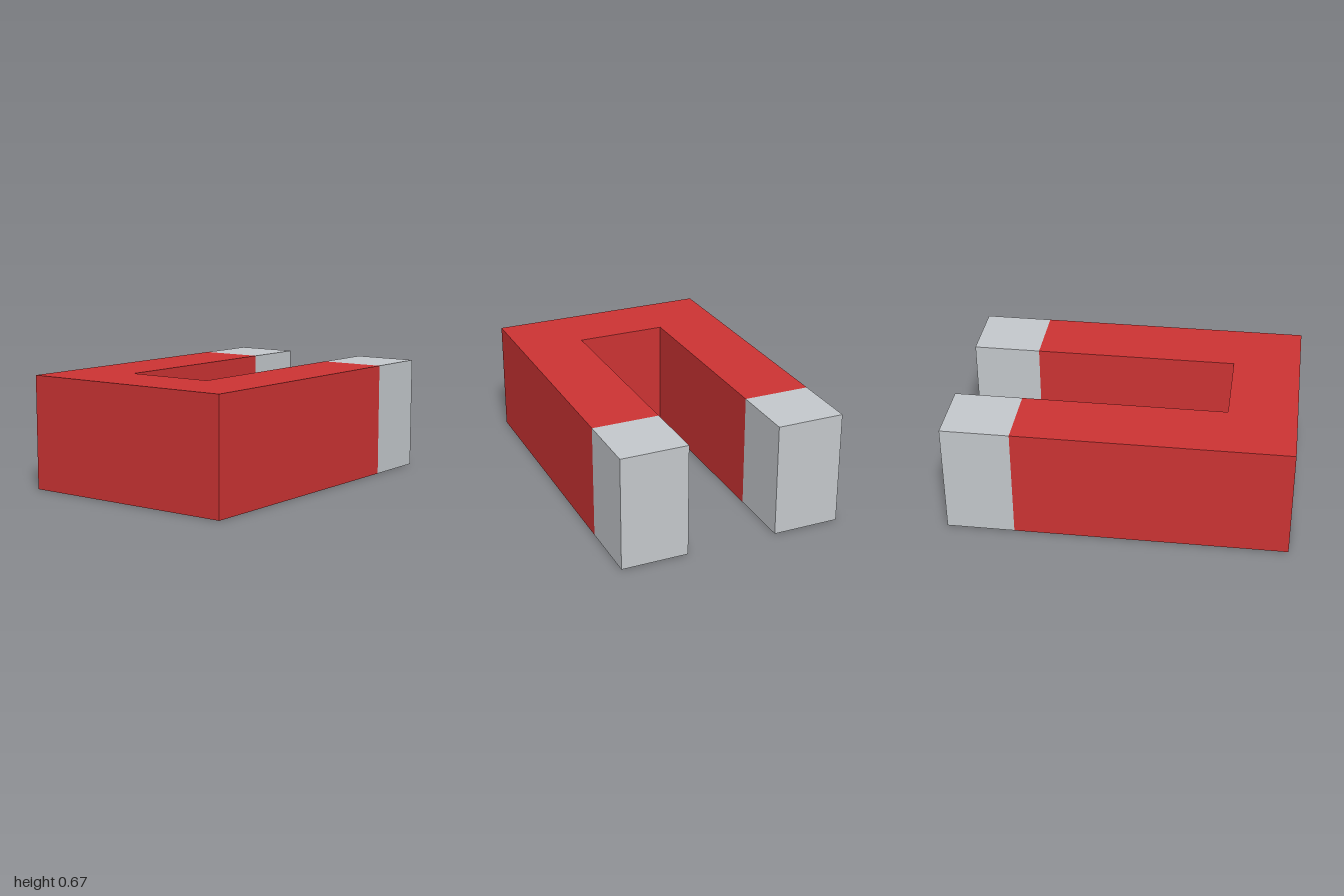
import * as THREE from 'three';

const HEIGHT = 0.67;
const OUTER = 0.667; // half depth outside
const INNER = 0.27;  // half depth of the gap
const TIP = 0.6;     // x where the pole tips begin

export function createModel() {
  const group = new THREE.Group();
  group.name = 'horseshoeMagnet';
  const red = new THREE.MeshStandardMaterial({ color: 0xcc3333, flatShading: true });
  const steel = new THREE.MeshStandardMaterial({ color: 0xc4c8cc, flatShading: true });

  // U-shaped body, outlined in plan and extruded upwards
  const outline = new THREE.Shape([
    [-1, -OUTER], [TIP, -OUTER], [TIP, -INNER], [-0.6, -INNER],
    [-0.6, INNER], [TIP, INNER], [TIP, OUTER], [-1, OUTER],
  ].map(([x, y]) => new THREE.Vector2(x, y)));
  const bodyGeometry = new THREE.ExtrudeGeometry(outline, { depth: HEIGHT, bevelEnabled: false });
  bodyGeometry.rotateX(-Math.PI / 2);
  const body = new THREE.Mesh(bodyGeometry, red);
  body.name = 'body';
  group.add(body);

  // Bare metal pole tips, one at the end of each arm
  const tipGeometry = new THREE.BoxGeometry(1 - TIP, HEIGHT, OUTER - INNER);
  for (const side of [1, -1]) {
    const tip = new THREE.Mesh(tipGeometry, steel);
    tip.name = side > 0 ? 'frontPoleTip' : 'backPoleTip';
    tip.position.set((1 + TIP) / 2, HEIGHT / 2, side * (OUTER + INNER) / 2);
    group.add(tip);
  }
  return group;
}
